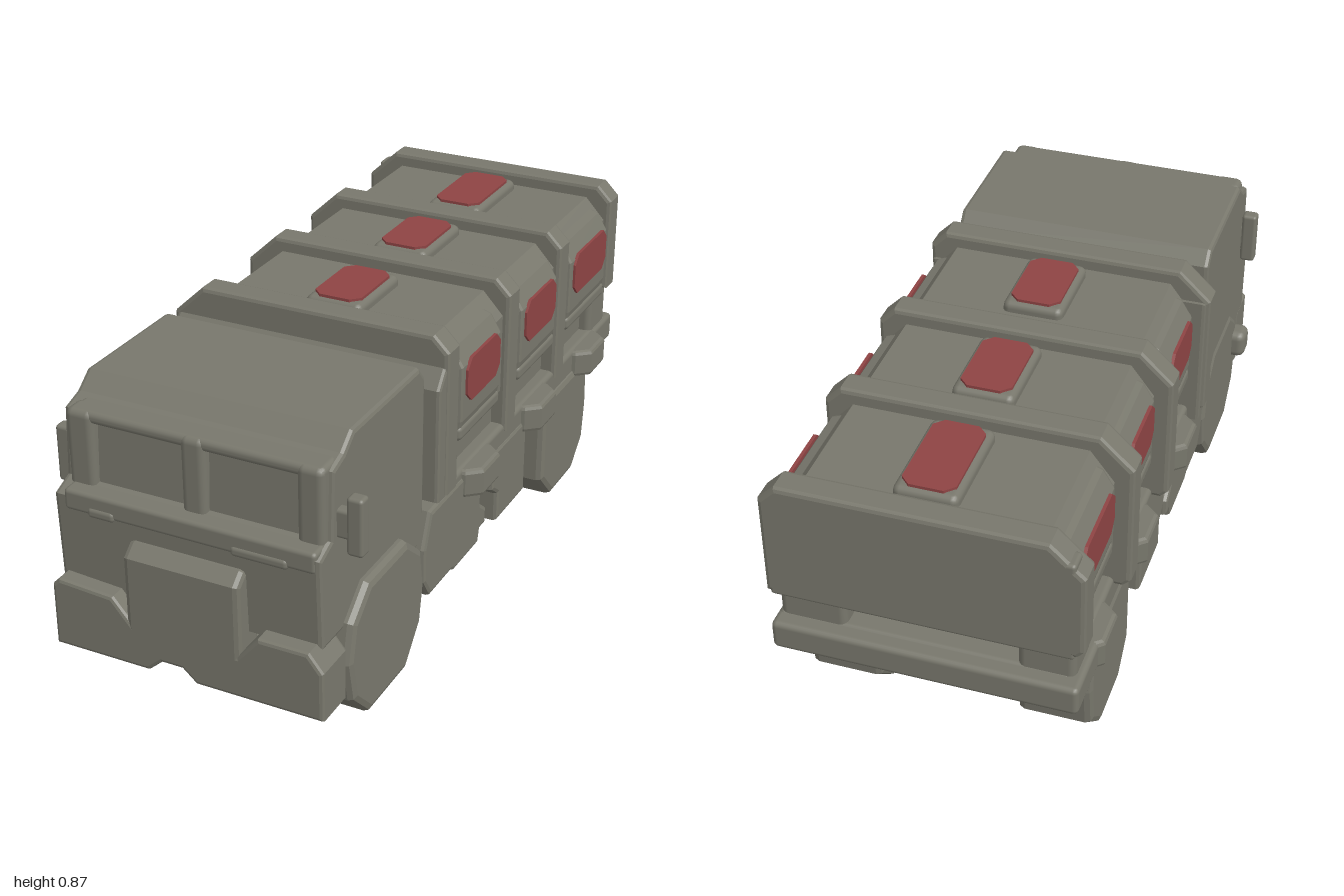
import * as THREE from 'three';
import { RoundedBoxGeometry } from 'three/addons/geometries/RoundedBoxGeometry.js';

const paint = new THREE.MeshStandardMaterial({ color: 0x78776c });
paint.name = 'drab grey paint';
const red = new THREE.MeshStandardMaterial({ color: 0x8e4444 });
red.name = 'dull red panel';

export function createModel() {
  const truck = new THREE.Group();
  truck.name = 'armouredTruck';

  const add = (name, geometry, material = paint) => {
    const mesh = new THREE.Mesh(geometry, material);
    mesh.name = name;
    truck.add(mesh);
  };

  // Softened box given by its extents
  const block = (name, x0, x1, y0, y1, z0, z1, r = 0.015) => {
    const g = new RoundedBoxGeometry(x1 - x0, y1 - y0, z1 - z0, 2, r);
    add(name, g.translate((x0 + x1) / 2, (y0 + y1) / 2, (z0 + z1) / 2));
  };

  const bevelled = (points, length, b) => {
    const shape = new THREE.Shape(points.map(([u, v]) => new THREE.Vector2(u, v)));
    const g = new THREE.ExtrudeGeometry(shape, {
      depth: length - 2 * b, bevelEnabled: b > 0, bevelSize: b, bevelOffset: -b,
      bevelThickness: b, bevelSegments: 2,
    });
    return g.translate(0, 0, b);
  };

  // Cross-section in (x, y), run along z
  const alongZ = (name, points, z0, z1, b = 0.01) =>
    add(name, bevelled(points, z1 - z0, b).translate(0, 0, z0));

  // Side profile in (z, y), run along x
  const alongX = (name, points, x0, x1, b = 0.01, material = paint) =>
    add(name, bevelled(points, x1 - x0, b).rotateY(-Math.PI / 2).translate(x1, 0, 0), material);

  // Run a builder for both sides, giving mirrored x extents
  const bothSides = (build) => {
    build('left', (a, b) => [a, b], 1);
    build('right', (a, b) => [-b, -a], -1);
  };

  // Rectangle with cut corners
  const cutRect = (u0, u1, v0, v1, c) => [
    [u0 + c, v0], [u1 - c, v0], [u1, v0 + c], [u1, v1 - c],
    [u1 - c, v1], [u0 + c, v1], [u0, v1 - c], [u0, v0 + c],
  ];

  // ---- Cab ----
  alongX('cabBody', [
    [0.375, 0.3], [0.95, 0.3], [0.96, 0.56], [0.90, 0.585], [0.89, 0.77], [0.83, 0.79],
    [0.78, 0.83], [0.41, 0.83], [0.375, 0.79],
  ], -0.39, 0.365, 0.012);
  block('cabFloor', -0.16, 0.16, 0.26, 0.34, 0.38, 0.95);

  // Windscreen frame
  for (const [x0, x1] of [[-0.37, -0.29], [-0.04, 0.03], [0.28, 0.355]]) {
    block('windscreenPillar', x0, x1, 0.56, 0.785, 0.85, 0.92, 0.02);
  }
  block('windscreenHeader', -0.36, 0.355, 0.75, 0.785, 0.82, 0.915, 0.016);
  block('windscreenSill', -0.36, 0.355, 0.52, 0.58, 0.87, 0.963, 0.012);

  // Nose, grille and bumper
  alongX('grille', [[0.9, 0.2], [1, 0.2], [1, 0.45], [0.965, 0.48], [0.9, 0.48]], -0.17, 0.16, 0.015);
  alongZ('frontBumper', [
    [-0.39, 0.13], [-0.11, 0.13], [-0.07, 0.165], [-0.01, 0.165], [0.03, 0.13], [0.39, 0.13],
    [0.39, 0.27], [0.35, 0.32], [0.21, 0.32], [0.15, 0.25], [-0.15, 0.25], [-0.21, 0.32],
    [-0.37, 0.33], [-0.39, 0.31],
  ], 0.87, 1, 0.01);
  block('rightHeadlampBrow', -0.29, -0.21, 0.515, 0.545, 0.93, 0.968, 0.012);
  block('leftHeadlampBrow', 0.12, 0.28, 0.515, 0.545, 0.93, 0.968, 0.012);
  block('rightCabStep', -0.435, -0.37, 0.2, 0.29, 0.79, 0.87, 0.025);

  bothSides((side, span) => {
    block(side + 'Mirror', ...span(0.39, 0.435), 0.54, 0.7, 0.835, 0.875, 0.01);
    block(side + 'MirrorArm', ...span(0.33, 0.41), 0.58, 0.66, 0.838, 0.872, 0.01);
  });

  // ---- Cargo body ----
  alongZ('cargoShell', [
    [-0.385, 0.53], [-0.385, 0.74], [-0.32, 0.825], [0.31, 0.825], [0.37, 0.76], [0.37, 0.53],
  ], -0.97, 0.27, 0.015);
  block('cargoLowerWall', -0.36, 0.345, 0.38, 0.56, -0.86, 0.28);
  alongX('cargoFrontWall', [[0.2, 0.38], [0.33, 0.38], [0.33, 0.73], [0.29, 0.78], [0.2, 0.78]], -0.425, 0.385);

  // Roof and side ribs
  const ribs = [[0.21, 0.29, 0.4], [-0.2, -0.12, 0.4], [-0.58, -0.5, 0.4], [-1, -0.92, 0.53]];
  for (const [z0, z1, foot] of ribs) {
    alongZ('cargoRib', [
      [-0.435, foot + 0.02], [-0.435, 0.78], [-0.345, 0.865], [0.345, 0.865], [0.39, 0.82], [0.39, foot],
      [-0.415, foot],
    ], z0, z1, 0.012);
  }

  // Red panels on raised pads: roof and both sides of each bay
  const bays = [[-0.88, -0.615], [-0.46, -0.235], [-0.045, 0.175]];
  for (const [z0, z1] of bays) {
    block('roofPad', -0.085, 0.085, 0.79, 0.855, z0 - 0.015, z1 + 0.015, 0.02);
    const plate = bevelled(cutRect(-0.07, 0.07, -z1, -z0, 0.025), 0.008, 0);
    add('roofPanel', plate.rotateX(-Math.PI / 2).translate(0, 0.854, 0), red);

    bothSides((side, span, s) => {
      const pad = [[0.33, 0.54], [0.38, 0.54], [0.39, 0.58], [0.39, 0.74], [0.36, 0.79], [0.33, 0.8]];
      alongZ(side + 'SidePad', s > 0 ? pad : pad.map(([x, y]) => [-x, y]).reverse(),
        z0 - 0.025, z1 + 0.025, 0.012);
      alongX(side + 'SidePanel', cutRect(z0, z1, 0.628, 0.755, 0.028), ...span(0.388, 0.397), 0, red);
      block(side + 'BayLedge', ...span(0.3, 0.39), 0.52, 0.565, z0 - 0.025, z1 + 0.025, 0.015);
    });
  }

  // Deck and tail
  block('cargoDeck', -0.39, 0.385, 0.335, 0.425, -0.96, 0.33);
  block('rearBumper', -0.42, 0.39, 0.335, 0.42, -1, -0.8);
  block('tailgate', -0.41, 0.38, 0.52, 0.82, -1, -0.94, 0.01);
  for (const [x0, x1] of [[-0.4, -0.25], [0.2, 0.38]]) {
    block('tailCorner', x0, x1, 0.4, 0.54, -0.955, -0.82, 0.02);
  }

  // ---- Running gear ----
  const frontWheel = [
    [0.75, 0], [0.84, 0.09], [0.865, 0.21], [0.84, 0.32], [0.75, 0.395], [0.53, 0.395],
    [0.44, 0.32], [0.42, 0.21], [0.44, 0.1], [0.53, 0],
  ];
  const rearWheel = [
    [-0.51, 0], [-0.42, 0.09], [-0.42, 0.36], [-0.78, 0.36], [-0.79, 0.2], [-0.775, 0.08], [-0.69, 0],
  ];
  bothSides((side, span) => {
    alongX(side + 'FrontWheel', frontWheel, ...span(0.19, 0.395), 0.02);
    alongX(side + 'RearWheel', rearWheel, ...span(0.19, 0.395), 0.02);
    alongX(side + 'FuelTank', [
      [0.38, 0.14], [0.24, 0.14], [0.22, 0.13], [0.05, 0.13], [0.04, 0.17], [0, 0.17], [0, 0.22], [0.04, 0.25],
      [0.04, 0.3], [0, 0.34], [0, 0.4], [0.38, 0.4], [0.42, 0.3], [0.42, 0.2],
    ], ...span(0.18, 0.39), 0.012);
    alongX(side + 'StowageBox', [
      [-0.29, 0.13], [-0.08, 0.13], [-0.08, 0.22], [-0.04, 0.25], [-0.04, 0.3], [-0.01, 0.37], [-0.29, 0.37],
    ], ...span(0.2, 0.39), 0.012);
    block(side + 'ChassisRail', ...span(0.16, 0.25), 0.24, 0.36, 0.05, 0.9);

    // Tapered skirt lugs below each bay: plan in (x, z), extruded upwards
    for (const z of [0.08, -0.345, -0.755]) {
      const plan = [[0.34, -z - 0.105], [0.395, -z - 0.09], [0.435, -z - 0.055],
        [0.435, -z + 0.055], [0.395, -z + 0.09], [0.34, -z + 0.105]];
      const lug = bevelled(side === 'left' ? plan : plan.map(([x, y]) => [-x, y]).reverse(), 0.085, 0.012);
      add(side + 'SkirtLug', lug.rotateX(-Math.PI / 2).translate(0, 0.335, 0));
    }
  });

  // Axles with central differentials, and the gearbox
  for (const z of [0.64, -0.6]) {
    block('axle', -0.25, 0.25, 0.15, 0.25, z - 0.05, z + 0.05, 0.03);
    alongZ('differential', [
      [-0.1, 0.087], [0.1, 0.087], [0.145, 0.13], [0.145, 0.25], [0.09, 0.36], [-0.09, 0.36],
      [-0.145, 0.25], [-0.145, 0.13],
    ], z - 0.1, z + 0.1, 0.025);
  }
  block('gearbox', -0.15, 0.15, 0.14, 0.36, 0.02, 0.29, 0.03);

  return truck;
}
